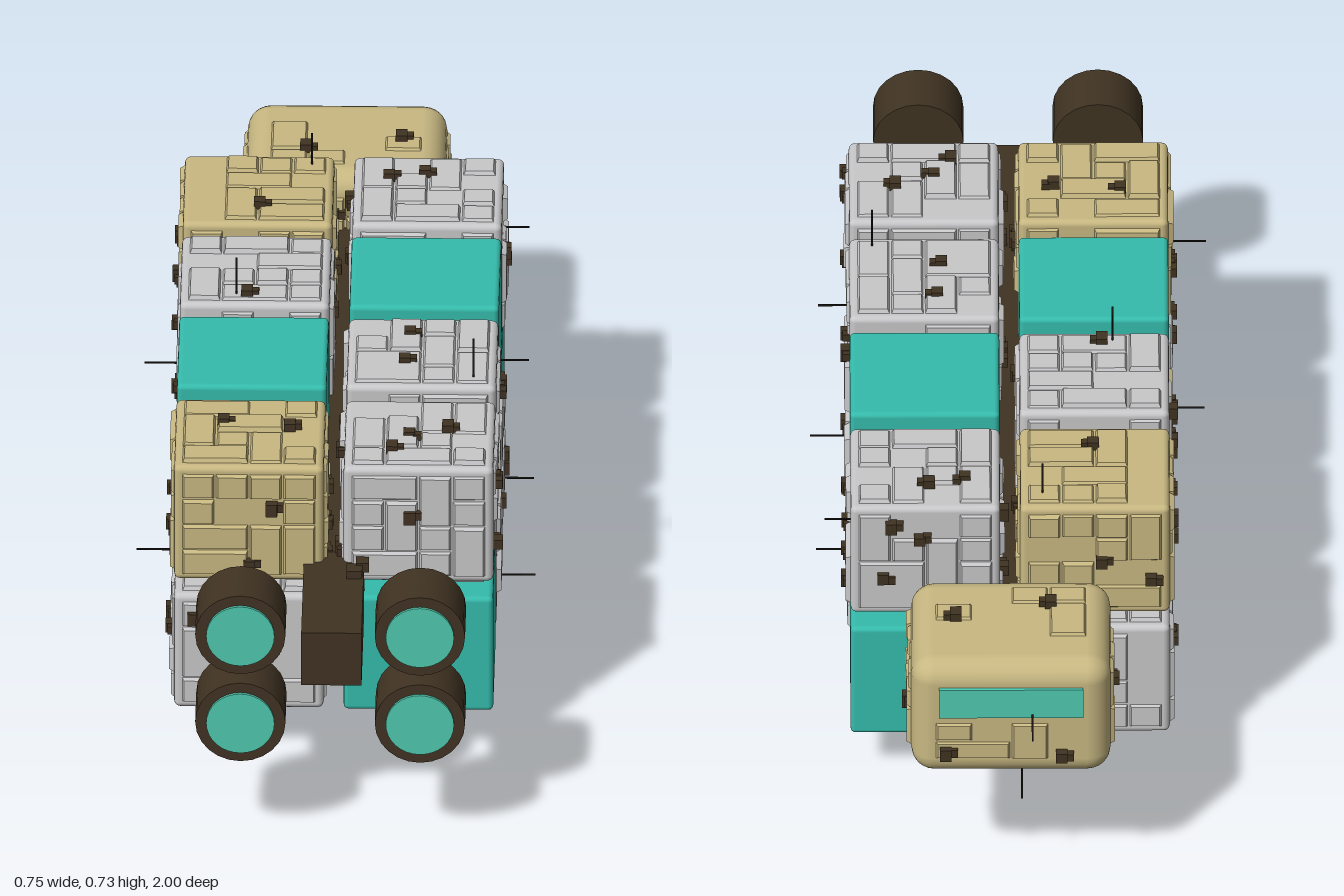
import * as THREE from 'three';
import { mergeGeometries } from 'three/addons/utils/BufferGeometryUtils.js';
import { RoundedBoxGeometry } from 'three/addons/geometries/RoundedBoxGeometry.js';

const material = (name, color) => {
  const m = new THREE.MeshStandardMaterial({ color });
  m.name = name;
  return m;
};

// Small seeded generator so the panelling is repeatable
function seeded(seed) {
  let s = seed;
  return () => {
    s = (s * 16807) % 2147483647;
    return s / 2147483647;
  };
}

// Raised plate standing on z = 0 with bevelled sides
function plate(x, y, w, h, t, bevel) {
  const g = new THREE.BoxGeometry(w, h, t);
  const p = g.attributes.position;
  for (let i = 0; i < p.count; i++) {
    if (p.getZ(i) > 0) {
      p.setX(i, p.getX(i) - Math.sign(p.getX(i)) * bevel);
      p.setY(i, p.getY(i) - Math.sign(p.getY(i)) * bevel);
    }
  }
  g.computeVertexNormals();
  return g.translate(x, y, t / 2 - 0.001);
}

export function createModel() {
  const grey = material('hull grey', 0xc8c8ca);
  const tan = material('hull tan', 0xc8b882);
  const teal = material('container teal', 0x35bcac);
  const dark = material('dark brown metal', 0x403322);
  const glow = material('glowing aqua', 0x50cab0);
  const black = material('antenna black', 0x1c1814);
  const rand = seeded(4711);
  const root = new THREE.Group();
  root.name = 'modularFreighter';

  const add = (parent, name, geo, mat, x = 0, y = 0, z = 0) => {
    const m = new THREE.Mesh(geo, mat);
    m.name = name;
    m.position.set(x, y, z);
    parent.add(m);
    return m;
  };

  // Hull box with random panels and dark fittings on every face
  function panelledBox(name, size, radius, segments, margin, mat, pos, windowed) {
    const group = new THREE.Group();
    group.name = name;
    group.position.set(...pos);
    root.add(group);
    const [w, h, d] = size;
    add(group, 'hull', new RoundedBoxGeometry(w, h, d, segments, radius), mat);
    const faces = [
      [0, 0, w, h, d], [0, Math.PI, w, h, d],
      [0, Math.PI / 2, d, h, w], [0, -Math.PI / 2, d, h, w],
      [-Math.PI / 2, 0, w, d, h], [Math.PI / 2, 0, w, d, h],
    ];
    const panels = [], fittings = [];
    faces.forEach(([rx, ry, fw, fh, depth], f) => {
      const matrix = new THREE.Matrix4().makeRotationFromEuler(new THREE.Euler(rx, ry, 0));
      matrix.multiply(new THREE.Matrix4().makeTranslation(0, 0, depth / 2));
      const n = 4, cw = (fw - 2 * margin) / n, ch = (fh - 2 * margin) / n;
      const rows = windowed && f === 1 ? 2 : n;
      const used = new Set();
      for (let j = 0; j < rows; j++) for (let i = 0; i < n; i++) {
        if (used.has(j * n + i)) continue;
        let a = rand() < 0.4 && i < n - 1 ? 2 : 1;
        const b = rand() < 0.35 && j < rows - 1 ? 2 : 1;
        if (a === 2 && used.has(j * n + i + 1)) a = 1;
        for (let q = 0; q < b; q++) for (let p = 0; p < a; p++) used.add((j + q) * n + i + p);
        if (rand() < 0.22) continue;
        panels.push(plate((i + a / 2 - n / 2) * cw, (j + b / 2 - n / 2) * ch,
          a * cw - 0.003, b * ch - 0.003, 0.005 + rand() * 0.006, 0.004).applyMatrix4(matrix));
      }
      // Clusters of small boxes
      const count = 1 + Math.floor(rand() * 2.5);
      for (let k = 0; k < count; k++) {
        const x = (rand() - 0.5) * (fw - 2 * margin - 0.04);
        const y = (rand() - 0.5) * (rows < n ? 0.4 : 1) * (fh - 2 * margin - 0.04) - (rows < n ? 0.05 : 0);
        fittings.push(plate(x, y, 0.022, 0.018 + rand() * 0.01, 0.018, 0).applyMatrix4(matrix));
        fittings.push(plate(x + 0.015, y + 0.012 * (rand() - 0.5), 0.016, 0.016, 0.014, 0).applyMatrix4(matrix));
      }
    });
    add(group, 'panels', mergeGeometries(panels), mat);
    add(group, 'fittings', mergeGeometries(fittings), dark);
  }

  // Spine beam with a few clamps
  add(root, 'spine', new THREE.BoxGeometry(0.115, 0.115, 1.54), dark, -0.003, 0.372, 0.15);
  add(root, 'spineClamp', new THREE.BoxGeometry(0.03, 0.022, 0.03), dark, 0.037, 0.435, 0.7);
  add(root, 'spineClamp', new THREE.BoxGeometry(0.025, 0.02, 0.025), dark, 0.052, 0.441, 0.68);

  // Cargo blocks, front row to back row
  const rowZ = [0.522, 0.213, -0.092, -0.397];
  const layout = [
    { side: 'Left', x: 0.158, level: 'upper', y: 0.512, mats: [grey, grey, teal, grey] },
    { side: 'Left', x: 0.158, level: 'lower', y: 0.23, mats: [teal, grey, grey, teal] },
    { side: 'Right', x: -0.165, level: 'upper', y: 0.512, mats: [tan, teal, grey, tan] },
    { side: 'Right', x: -0.165, level: 'lower', y: 0.23, mats: [grey, tan, teal, grey] },
  ];
  for (const { side, x, level, y, mats } of layout) {
    mats.forEach((mat, r) => {
      const name = `${level}${side}Block${r + 1}`;
      if (mat === teal) add(root, name, new RoundedBoxGeometry(0.285, 0.25, 0.268, 2, 0.01), teal, x, y, rowZ[r]);
      else panelledBox(name, [0.285, 0.25, 0.262], 0.012, 2, 0.014, mat, [x, y, rowZ[r]], false);
    });
  }

  // Cabin with a wide window
  panelledBox('cabin', [0.38, 0.262, 0.3], 0.045, 3, 0.045, tan, [-0.004, 0.411, -0.76], true);
  add(root, 'cabinWindow', new THREE.BoxGeometry(0.275, 0.066, 0.009), glow, -0.004, 0.46, -0.913);

  // Four engines
  for (const x of [-0.175, 0.167]) for (const y of [0.467, 0.275]) {
    const engine = new THREE.Group();
    engine.name = 'engine';
    engine.position.set(x, y, 0);
    root.add(engine);
    const body = new THREE.CylinderGeometry(0.086, 0.086, 0.113, 24).rotateX(Math.PI / 2);
    add(engine, 'engineBody', body, dark, 0, 0, 0.938);
    const disc = new THREE.CylinderGeometry(0.065, 0.065, 0.008, 32).rotateX(Math.PI / 2);
    add(engine, 'engineGlow', disc, glow, 0, 0, 0.996);
  }

  // Antennas, each from its foot along one axis to its tip
  const antennas = [
    [0.257, 0.63, 0.31, 'y', 0.725], [-0.2, 0.63, 0.005, 'y', 0.72], [-0.065, 0.63, -0.485, 'y', 0.71],
    [0.257, 0.11, -0.055, 'y', 0], [-0.065, 0.11, 0.13, 'y', 0.04], [-0.025, 0.29, -0.845, 'y', 0.185],
    [0.295, 0.54, -0.43, 'x', 0.35], [0.295, 0.6, 0.175, 'x', 0.36], [0.295, 0.2, 0.3, 'x', 0.375],
    [0.295, 0.2, -0.065, 'x', 0.365], [-0.3, 0.485, 0, 'x', -0.375], [-0.3, 0.43, 0.61, 'x', -0.38],
    [-0.045, 0.434, -0.9, 'z', -1],
  ];
  for (const [x, y, z, axis, tip] of antennas) {
    const foot = new THREE.Vector3(x, y, z);
    const length = Math.abs(tip - foot[axis]);
    const g = new THREE.CylinderGeometry(0.002, 0.002, length, 6);
    if (axis === 'x') g.rotateZ(Math.PI / 2);
    if (axis === 'z') g.rotateX(Math.PI / 2);
    foot[axis] = (tip + foot[axis]) / 2;
    add(root, 'antenna', g, black, foot.x, foot.y, foot.z);
  }
  return root;
}
